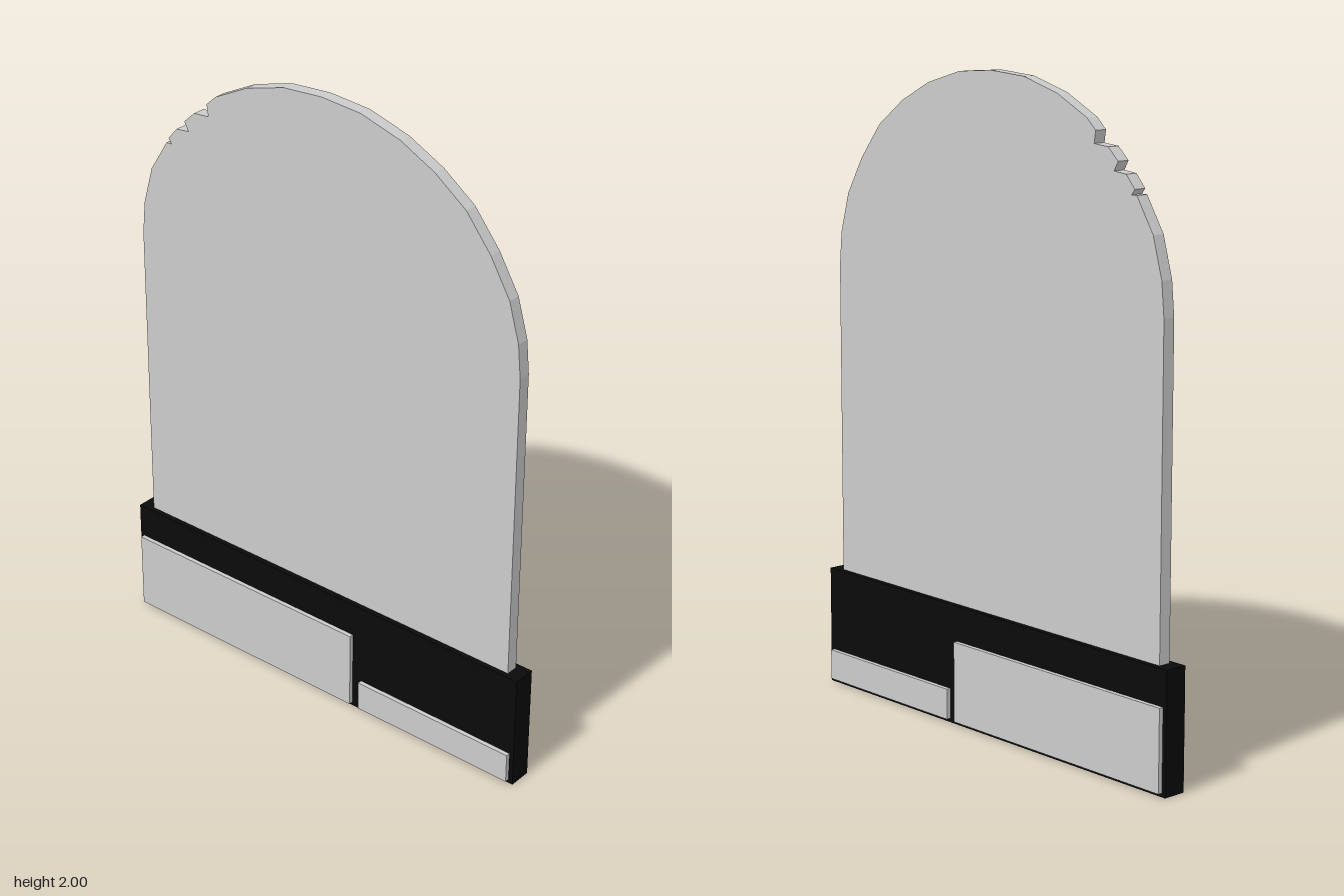
import * as THREE from 'three';

export function createModel() {
  const group = new THREE.Group();
  const grey = new THREE.MeshStandardMaterial({ color: 0xcccccc, flatShading: true });
  const black = new THREE.MeshStandardMaterial({ color: 0x0a0a0a, flatShading: true });

  const add = (name, geometry, material) => {
    const mesh = new THREE.Mesh(geometry, material);
    mesh.name = name;
    group.add(mesh);
    return mesh;
  };

  // box given by its front rectangle, centred on z = 0
  const block = (name, x0, x1, y0, y1, depth, material) =>
    add(name, new THREE.BoxGeometry(x1 - x0, y1 - y0, depth), material)
      .position.set((x0 + x1) / 2, (y0 + y1) / 2, 0);

  // faceted arch, from the right springing point to the crown
  const arch = [
    [0.71, 1.36], [0.7, 1.465], [0.665, 1.587], [0.597, 1.702],
    [0.51, 1.81], [0.4, 1.89], [0.28, 1.95], [0.14, 1.99],
  ];
  const mirrored = arch.map(([x, y]) => [-x, y]).reverse();

  // chipped edge replacing the arch at upper left
  const chips = [
    [-0.436, 1.857], [-0.43, 1.82], [-0.486, 1.815],
    [-0.526, 1.778], [-0.51, 1.75], [-0.558, 1.745],
    [-0.592, 1.706], [-0.58, 1.69], [-0.6, 1.69],
  ];
  const outline = [
    [-0.71, 0.3], [0.71, 0.3], ...arch, [0, 2],
    ...mirrored.slice(0, 3), ...chips, ...mirrored.slice(5),
  ];
  const shape = new THREE.Shape(outline.map(([x, y]) => new THREE.Vector2(x, y)));
  const slab = new THREE.ExtrudeGeometry(shape, { depth: 0.04, bevelEnabled: false });
  slab.translate(0, 0, -0.02);
  add('archedSlab', slab, grey);

  // dark plinth with panels showing on both faces
  block('base', -0.755, 0.755, 0, 0.375, 0.074, black);
  block('widePanel', -0.742, 0.137, 0.012, 0.265, 0.102, grey);
  block('smallPanel', 0.17, 0.74, 0.012, 0.108, 0.102, grey);

  return group;
}
